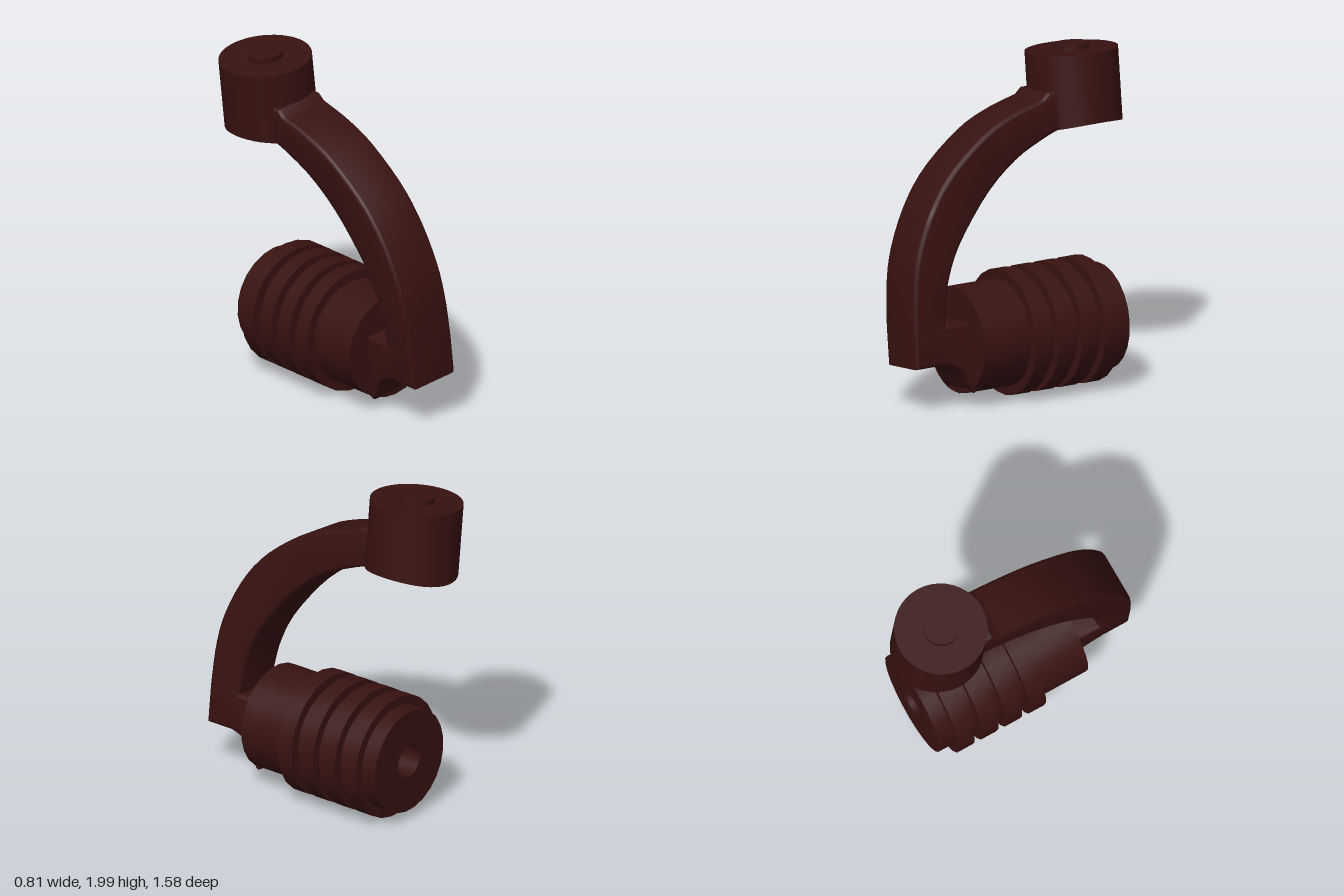
import * as THREE from 'three';
import { toCreasedNormals } from 'three/addons/utils/BufferGeometryUtils.js';

const material = new THREE.MeshStandardMaterial({ color: 0x381210 });
const vectors = (pairs) => pairs.map(([x, y]) => new THREE.Vector2(x, y));

function addPart(parent, name, geometry, crease = 0.55) {
  const mesh = new THREE.Mesh(toCreasedNormals(geometry, crease), material);
  mesh.name = name;
  parent.add(mesh);
  return mesh;
}

// Ribbed barrel with a blind bore in its back end, turned along z
function barrelGeometry() {
  const r = 0.315, rib = 0.371, half = 0.497, ribHalf = 0.052;
  const profile = [[0, -0.2], [0.1, -0.2], [0.1, -half], [r, -half]];
  for (let i = 0; i < 4; i++) {
    const c = -0.347 + i * 0.159;
    profile.push([r, c - ribHalf], [rib, c - ribHalf], [rib, c + ribHalf], [r, c + ribHalf]);
  }
  profile.push([r, half], [0, half]);
  return new THREE.LatheGeometry(vectors(profile), 24).rotateX(Math.PI / 2);
}

// Curved arm: side profile (z, y) extruded across the width, with softened edges
function armGeometry() {
  const outer = new THREE.SplineCurve(vectors([
    [0.87, 0.12], [0.855, 0.36], [0.81, 0.57], [0.7, 0.81], [0.545, 1.01],
    [0.3, 1.2], [0.1, 1.29], [-0.1, 1.345]]));
  const inner = new THREE.SplineCurve(vectors([
    [-0.2, 1.15], [-0.1, 1.115], [0.1, 1.02], [0.31, 0.85], [0.515, 0.59],
    [0.605, 0.4], [0.64, 0.25], [0.655, 0.12]]));
  const foot = new THREE.SplineCurve(vectors([
    [0.48, -0.3], [0.51, -0.26], [0.545, -0.19], [0.6, -0.14], [0.69, -0.11]]));
  const outline = [
    ...foot.getPoints(10), ...vectors([[0.87, -0.11]]),
    ...outer.getPoints(24), ...vectors([[-0.14, 1.38], [-0.3, 1.38], [-0.3, 1.2]]),
    ...inner.getPoints(24), ...vectors([[0.48, 0.12]])];
  const width = 0.325, bevel = 0.025;
  const geometry = new THREE.ExtrudeGeometry(new THREE.Shape(outline), {
    depth: width - 2 * bevel, bevelEnabled: true, bevelSize: bevel,
    bevelThickness: bevel, bevelOffset: -bevel, bevelSegments: 3 });
  return geometry.translate(0, 0, bevel - width / 2).rotateY(-Math.PI / 2);
}

// Round head whose underside is arched from front to back
function headGeometry() {
  const r = 0.272, h = 0.41;
  const geometry = new THREE.LatheGeometry(vectors([
    [0, 0], [0.07, 0], [0.14, 0], [0.21, 0], [r, 0], [r, h], [0, h]]), 40);
  const p = geometry.attributes.position;
  for (let i = 0; i < p.count; i++) {
    if (p.getY(i) < 0.01) p.setY(i, -0.035 * (p.getZ(i) / r) ** 2);
  }
  return geometry;
}

export function createModel() {
  const model = new THREE.Group();
  model.name = 'model';

  // The whole assembly leans and turns about the barrel's axis
  const assembly = new THREE.Group();
  assembly.name = 'tiltedAssembly';
  assembly.position.set(0.005, 0.371, -0.09);
  assembly.rotation.set(0, -0.11, 0.113, 'YXZ');
  model.add(assembly);

  addPart(assembly, 'ribbedBarrel', barrelGeometry());
  addPart(assembly, 'curvedArm', armGeometry());
  addPart(assembly, 'head', headGeometry()).position.set(0, 1.175, -0.41);
  addPart(assembly, 'topButton', new THREE.CylinderGeometry(0.103, 0.103, 0.06, 32))
    .position.set(0, 1.588, -0.41);
  return model;
}
